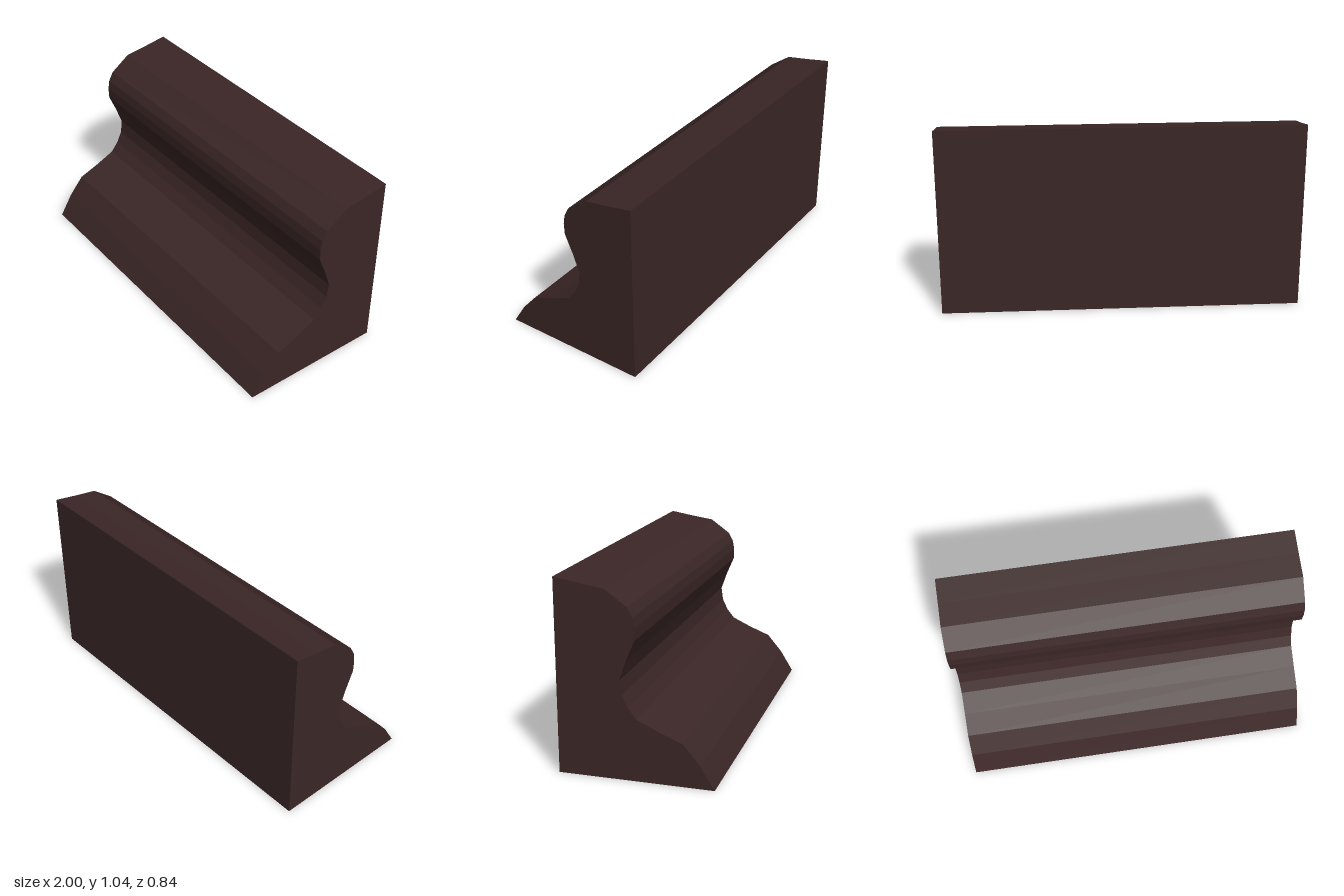
import * as THREE from 'three';

// Moulding profile as [z, y], from the front foot up to the top back edge
const PROFILE = [
  [0.418, 0], [0.341, 0.125], [0.25, 0.232], [0.127, 0.281], [0.011, 0.335],
  [-0.035, 0.392], [-0.066, 0.457], [-0.077, 0.535], [-0.04, 0.64],
  [0.005, 0.745], [0.007, 0.81], [-0.002, 0.862], [-0.03, 0.914],
  [-0.147, 0.998], [-0.28, 1.018], [-0.417, 1.042], [-0.417, 0],
];

export function createModel() {
  const group = new THREE.Group();
  group.name = 'mouldingModel';

  const darkWood = new THREE.MeshStandardMaterial({ color: 0x3b2626 });
  darkWood.name = 'darkWood';

  // Straight run of moulding: the profile swept along x
  const shape = new THREE.Shape(PROFILE.map(([z, y]) => new THREE.Vector2(-z, y)));
  const geometry = new THREE.ExtrudeGeometry(shape, { depth: 2, bevelEnabled: false });
  geometry.translate(0, 0, -1);
  geometry.rotateY(Math.PI / 2);

  const moulding = new THREE.Mesh(geometry, darkWood);
  moulding.name = 'moulding';
  group.add(moulding);
  return group;
}
